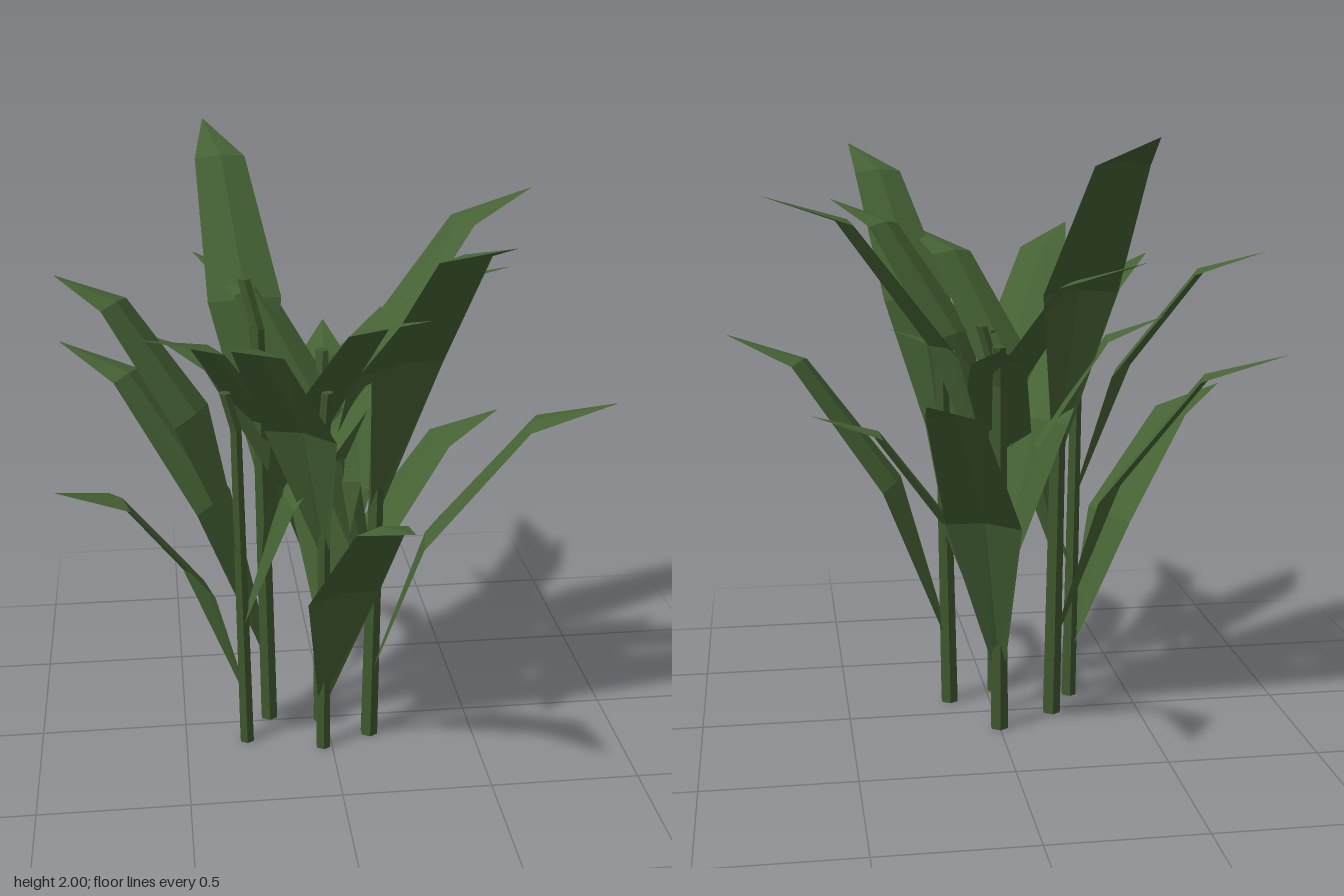
import * as THREE from 'three';

const leafMaterial = new THREE.MeshStandardMaterial({ color: 0x466335, flatShading: true, side: THREE.DoubleSide });
const stemMaterial = new THREE.MeshStandardMaterial({ color: 0x40592f, flatShading: true });

// Each plant: foot and top of its stem, size, and the tips of its low, middle and high leaves
const PLANTS = [
  { foot: [-0.29, 0, 0.12], top: [-0.34, 1.29, 0.13], size: 1,
    tips: [[-0.88, 1.07, 0.37], [0.34, 1.34, 0.1], [-0.87, 1.61, -0.17]] },
  { foot: [-0.20, 0, -0.03], top: [-0.26, 1.61, -0.07], size: 1.2,
    tips: [[-0.88, 1.31, -0.41], [0.24, 1.65, 0.6], [-0.35, 2.0, -0.8]] },
  { foot: [-0.03, 0, 0.19], top: [-0.02, 1.31, 0.22], size: 1,
    tips: [[0.17, 1.07, 0.8], [0.04, 1.35, -0.44], [-0.38, 1.63, 0.74]] },
  { foot: [-0.02, 0, 0.01], top: [0.04, 1.36, 0], size: 1.03,
    tips: [[0.61, 1.1, -0.13], [-0.55, 1.4, -0.13], [0.51, 1.75, 0.4]] },
  { foot: [0, 0, -0.14], top: [0.01, 1.32, -0.19], size: 1.2,
    tips: [[0.31, 1.27, -0.85], [-0.6, 1.55, 0.37], [0.75, 1.82, -0.36]] },
  { foot: [0.14, 0, 0.12], top: [0.2, 1.36, 0.14], size: 1.2,
    tips: [[0.88, 1.29, 0.37], [-0.41, 1.61, -0.43], [0.42, 1.92, 0.85]] },
];

// Leaf stations: share of the reach, drop below the tip, half width, height of the midrib fold
const STATIONS = [
  [0, 0.88, 0.02, 0.005],
  [0.24, 0.42, 0.127, 0.02],
  [0.66, 0.07, 0.088, 0.016],
  [1, 0, 0.002, 0],
];

// Stem centre at share t of its height: a slight lean, then a kink near the top
function stemPoint(foot, top, t) {
  const p = foot.clone().lerp(top, 0.35 * t + 0.65 * Math.max(0, (t - 0.9) / 0.1));
  p.y = top.y * t;
  return p;
}

// Arching blade folded along its midrib, from the stem out to the tip
function makeLeaf(foot, top, tip, size) {
  const baseY = tip.y - STATIONS[0][1] * size;
  const base = stemPoint(foot, top, baseY / top.y);
  const reach = new THREE.Vector3(tip.x - base.x, 0, tip.z - base.z);
  const out = reach.clone().normalize();
  const side = new THREE.Vector3(-out.z, 0, out.x);

  const centre = STATIONS.map(([r, drop]) => {
    const p = base.clone().addScaledVector(reach, r);
    p.y = tip.y - drop * size;
    return p;
  });
  const positions = [];
  const index = [];
  STATIONS.forEach(([, , halfWidth, fold], i) => {
    const along = centre[Math.min(i + 1, 3)].clone().sub(centre[Math.max(i - 1, 0)]).normalize();
    const up = side.clone().cross(along).normalize();
    if (up.y < 0) up.negate();
    for (const k of [-1, 0, 1]) {
      const p = centre[i].clone().addScaledVector(side, k * halfWidth);
      p.addScaledVector(up, k === 0 ? fold / 2 : -fold / 2);
      positions.push(p.x, p.y, p.z);
    }
    if (i === 0) return;
    for (let k = 0; k < 2; k++) {
      const a = (i - 1) * 3 + k, b = i * 3 + k;
      index.push(a, a + 1, b, a + 1, b + 1, b);
    }
  });
  const geometry = new THREE.BufferGeometry();
  geometry.setAttribute('position', new THREE.Float32BufferAttribute(positions, 3));
  geometry.setIndex(index);
  geometry.computeVertexNormals();
  return new THREE.Mesh(geometry, leafMaterial);
}

// Six-sided stem following its centre line from foot to top
function makeStem(foot, top, size) {
  const geometry = new THREE.CylinderGeometry(0.02 * size, 0.026 * size, 1, 6, 10);
  geometry.translate(0, 0.5, 0);
  const p = geometry.attributes.position;
  for (let i = 0; i < p.count; i++) {
    const c = stemPoint(foot, top, p.getY(i));
    p.setXYZ(i, p.getX(i) + c.x, c.y, p.getZ(i) + c.z);
  }
  geometry.computeVertexNormals();
  return new THREE.Mesh(geometry, stemMaterial);
}

export function createModel() {
  const model = new THREE.Group();
  model.name = 'leafyPlant';
  PLANTS.forEach((plant, n) => {
    const shoot = new THREE.Group();
    shoot.name = `shoot${n + 1}`;
    const foot = new THREE.Vector3(...plant.foot);
    const top = new THREE.Vector3(...plant.top);
    const stem = makeStem(foot, top, plant.size);
    stem.name = 'stem';
    shoot.add(stem);
    ['lowLeaf', 'middleLeaf', 'highLeaf'].forEach((name, i) => {
      const leaf = makeLeaf(foot, top, new THREE.Vector3(...plant.tips[i]), plant.size);
      leaf.name = name;
      shoot.add(leaf);
    });
    model.add(shoot);
  });
  return model;
}
